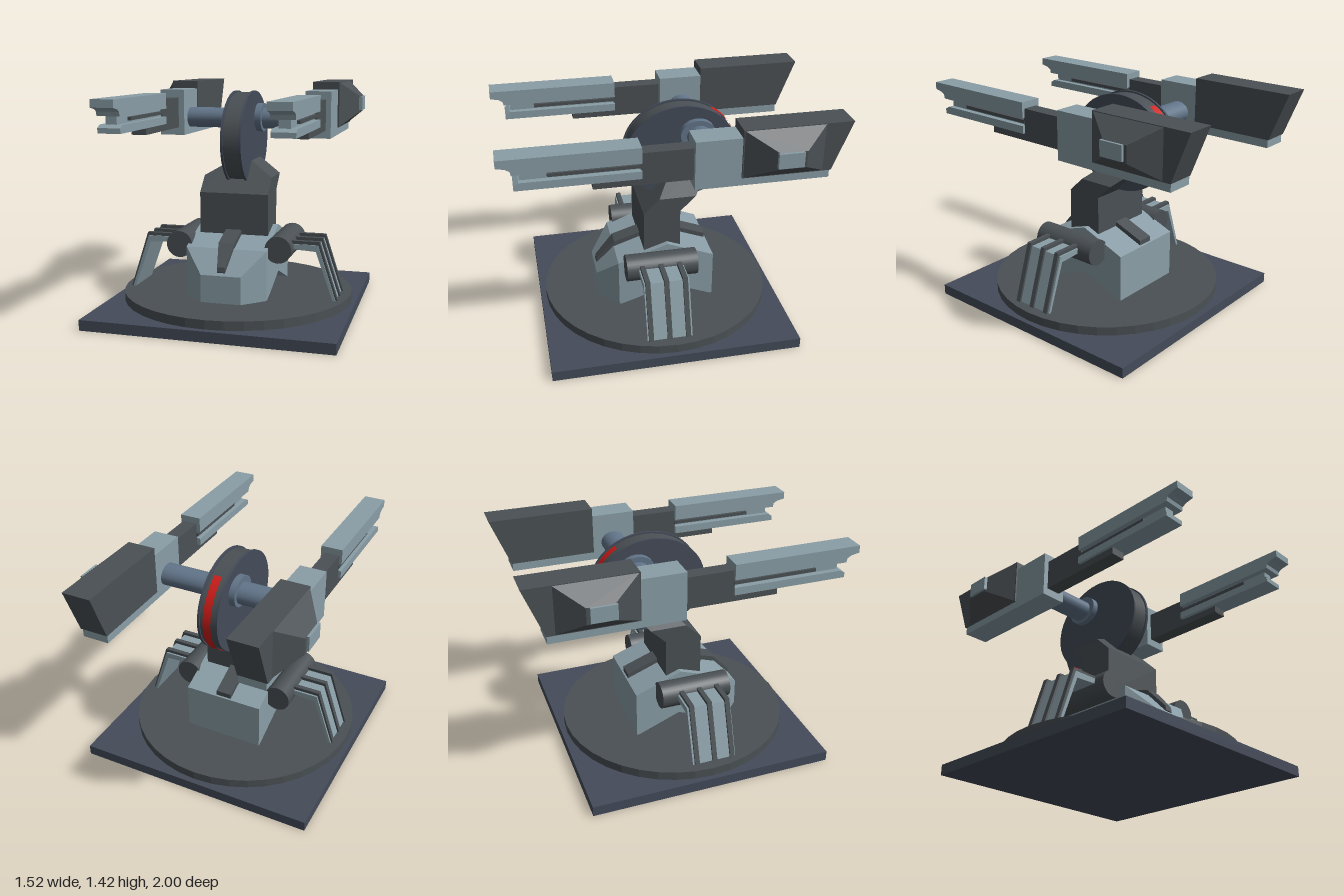
import * as THREE from 'three';
import { ConvexGeometry } from 'three/addons/geometries/ConvexGeometry.js';

const mat = (color, flatShading = true, side = THREE.FrontSide) =>
  new THREE.MeshStandardMaterial({ color, flatShading, side });
const light = mat(0x8a9ea7), dark = mat(0x4a5054), slate = mat(0x444b59);
const steel = mat(0x62758a, false), darkSmooth = mat(0x4a5054, false), slateSmooth = mat(0x444b59, false);
const red = mat(0xd01c18, false, THREE.DoubleSide);

// Box given by its limits
function box(x0, x1, y0, y1, z0, z1) {
  return new THREE.BoxGeometry(x1 - x0, y1 - y0, z1 - z0)
    .translate((x0 + x1) / 2, (y0 + y1) / 2, (z0 + z1) / 2);
}
const shapeOf = pts => new THREE.Shape(pts.map(p => new THREE.Vector2(...p)));
// Side profile of [z, y] points, extruded from x0 to x1
function sideProfile(pts, x0, x1) {
  return new THREE.ExtrudeGeometry(shapeOf(pts), { depth: x1 - x0, bevelEnabled: false })
    .rotateY(-Math.PI / 2).translate(x1, 0, 0);
}
// Front profile of [x, y] points, extruded from z0 to z1
function frontProfile(pts, z0, z1) {
  return new THREE.ExtrudeGeometry(shapeOf(pts), { depth: z1 - z0, bevelEnabled: false })
    .translate(0, 0, z0);
}
// Slightly oval drum along x
function drum(rz, ry, width, x, y, z) {
  return new THREE.CylinderGeometry(1, 1, width, 48).rotateZ(Math.PI / 2)
    .scale(1, ry, rz).translate(x, y, z);
}
function moveVertices(geo, rule) {
  const p = geo.attributes.position, v = new THREE.Vector3();
  for (let i = 0; i < p.count; i++) {
    rule(v.fromBufferAttribute(p, i));
    p.setXYZ(i, v.x, v.y, v.z);
  }
  geo.computeVertexNormals();
  return geo;
}
// Copy reflected in x, with the corner order put right
function mirror(geo) {
  const g = geo.index ? geo.toNonIndexed() : geo.clone();
  g.applyMatrix4(new THREE.Matrix4().makeScale(-1, 1, 1));
  for (const a of Object.values(g.attributes)) {
    const n = a.itemSize;
    for (let i = 0; i < a.count; i += 3)
      for (let k = 0; k < n; k++) {
        const s = (i + 1) * n + k, t = s + n;
        [a.array[s], a.array[t]] = [a.array[t], a.array[s]];
      }
  }
  return g;
}

export function createModel() {
  const model = new THREE.Group();
  model.name = 'twinGunTurret';
  const add = (name, geo, material) => {
    const m = new THREE.Mesh(geo, material);
    m.name = name;
    model.add(m);
  };
  const addPair = (name, geo, material) => {
    add(name + 'Left', geo, material);
    add(name + 'Right', mirror(geo), material);
  };

  // Base
  add('basePlate', box(-0.76, 0.76, 0, 0.065, -0.73, 0.8), slate);
  add('turntable', new THREE.CylinderGeometry(0.73, 0.73, 0.055, 40).translate(0, 0.0925, 0.035), dark);

  // Body housing with an arched underside and a narrowed nose
  add('housing', sideProfile([[-0.295, 0.12], [-0.28, 0.12], [-0.01, 0.23], [0.2, 0.15], [0.3, 0.12],
    [0.315, 0.12], [0.315, 0.43], [0, 0.535], [-0.295, 0.42]], -0.255, 0.255), light);
  add('housingNose', moveVertices(
    sideProfile([[0.315, 0.12], [0.44, 0.12], [0.44, 0.29], [0.315, 0.43]], -0.255, 0.255),
    v => { if (v.z > 0.4) v.x *= 0.49; }), light);
  add('frontStrap', moveVertices(
    sideProfile([[0.1, 0.49], [0.3, 0.425], [0.42, 0.3], [0.43, 0.31], [0.425, 0.34], [0.31, 0.465], [0.1, 0.53]], -0.05, 0.05),
    v => { if (v.z > 0.4) v.x *= 0.5; }), dark);
  add('rearStrap', sideProfile([[-0.05, 0.5], [-0.05, 0.545], [-0.285, 0.455], [-0.285, 0.415]], -0.05, 0.05), dark);

  // Neck: upright block, then a chamfered part leaning back
  add('neckBlock', box(-0.22, 0.22, 0.45, 0.745, -0.085, 0.145), dark);
  add('neckTop', moveVertices(
    frontProfile([[-0.22, 0.745], [0.22, 0.745], [0.22, 0.84], [0.06, 0.935], [-0.06, 0.935], [-0.22, 0.84]], -0.085, 0.145),
    v => { v.z -= (v.y - 0.745) * 1.03; }), dark);

  // Side cylinders and bent braces with ribs
  addPair('sideCylinder', new THREE.CylinderGeometry(0.083, 0.083, 0.445, 32)
    .rotateX(Math.PI / 2).translate(0.315, 0.432, 0.0575), darkSmooth);
  addPair('braceSheet', frontProfile([[0.36, 0.43], [0.535, 0.42], [0.642, 0.12], [0.66, 0.12],
    [0.547, 0.46], [0.36, 0.46]], -0.07, 0.21), light);
  for (const z of [-0.043, 0.072, 0.187])
    addPair('braceRib', frontProfile([[0.36, 0.445], [0.54, 0.445], [0.65, 0.12], [0.672, 0.12],
      [0.555, 0.48], [0.36, 0.48]], z - 0.015, z + 0.015), dark);

  // Elevation wheel with rims and red rear band
  add('wheelCore', drum(0.342, 0.293, 0.11, 0, 1.07, -0.125), darkSmooth);
  addPair('wheelRim', drum(0.35, 0.303, 0.015, 0.0575, 1.07, -0.125), slateSmooth);
  const deg = Math.PI / 180;
  add('redBand', new THREE.CylinderGeometry(1, 1, 0.05, 32, 1, true, 124 * deg, 112 * deg)
    .rotateZ(Math.PI / 2).scale(1, 0.307, 0.355).translate(0, 1.07, -0.125), red);

  // Axle
  add('axle', drum(0.077, 0.066, 0.84, 0, 1.19, -0.225), steel);
  add('axleHub', drum(0.11, 0.092, 0.21, 0, 1.197, -0.22), steel);

  // Gun bodies
  addPair('gunBody', box(0.402, 0.565, 1.08, 1.375, -0.88, -0.085), light);
  addPair('gunCowl', sideProfile([[-0.355, 1.13], [-0.355, 1.425], [-1, 1.425], [-0.885, 1.13]].reverse(), 0.4, 0.575), dark);
  const bulge = [];
  for (const [x, y0, y1, z0, z1] of [[0.57, 1.13, 1.425, -0.84, -0.355], [0.69, 1.225, 1.325, -0.69, -0.53]])
    for (const y of [y0, y1]) for (const z of [z0, z1]) bulge.push(new THREE.Vector3(x, y, z));
  addPair('cowlBulge', new ConvexGeometry(bulge), dark);
  addPair('cowlPort', box(0.6, 0.705, 1.235, 1.325, -0.67, -0.52), light);

  // Barrels: flanges above and below a narrower web
  addPair('barrelMount', box(0.44, 0.533, 1.13, 1.325, -0.09, 0.215), dark);
  addPair('barrelSupport', box(0.44, 0.533, 1.13, 1.18, 0.2, 0.485), dark);
  addPair('barrelTop', sideProfile([[0.21, 1.27], [0.92, 1.27], [0.925, 1.295], [0.95, 1.31], [1, 1.32],
    [1, 1.365], [0.21, 1.365]], 0.415, 0.55), light);
  addPair('barrelWeb', box(0.45, 0.515, 1.2, 1.29, 0.21, 0.88), light);
  addPair('barrelRail', box(0.43, 0.535, 1.235, 1.255, 0.21, 0.73), dark);
  addPair('barrelBottom', sideProfile([[0.21, 1.175], [0.915, 1.175], [0.915, 1.205], [0.885, 1.222],
    [0.21, 1.222]], 0.415, 0.55), light);
  return model;
}
